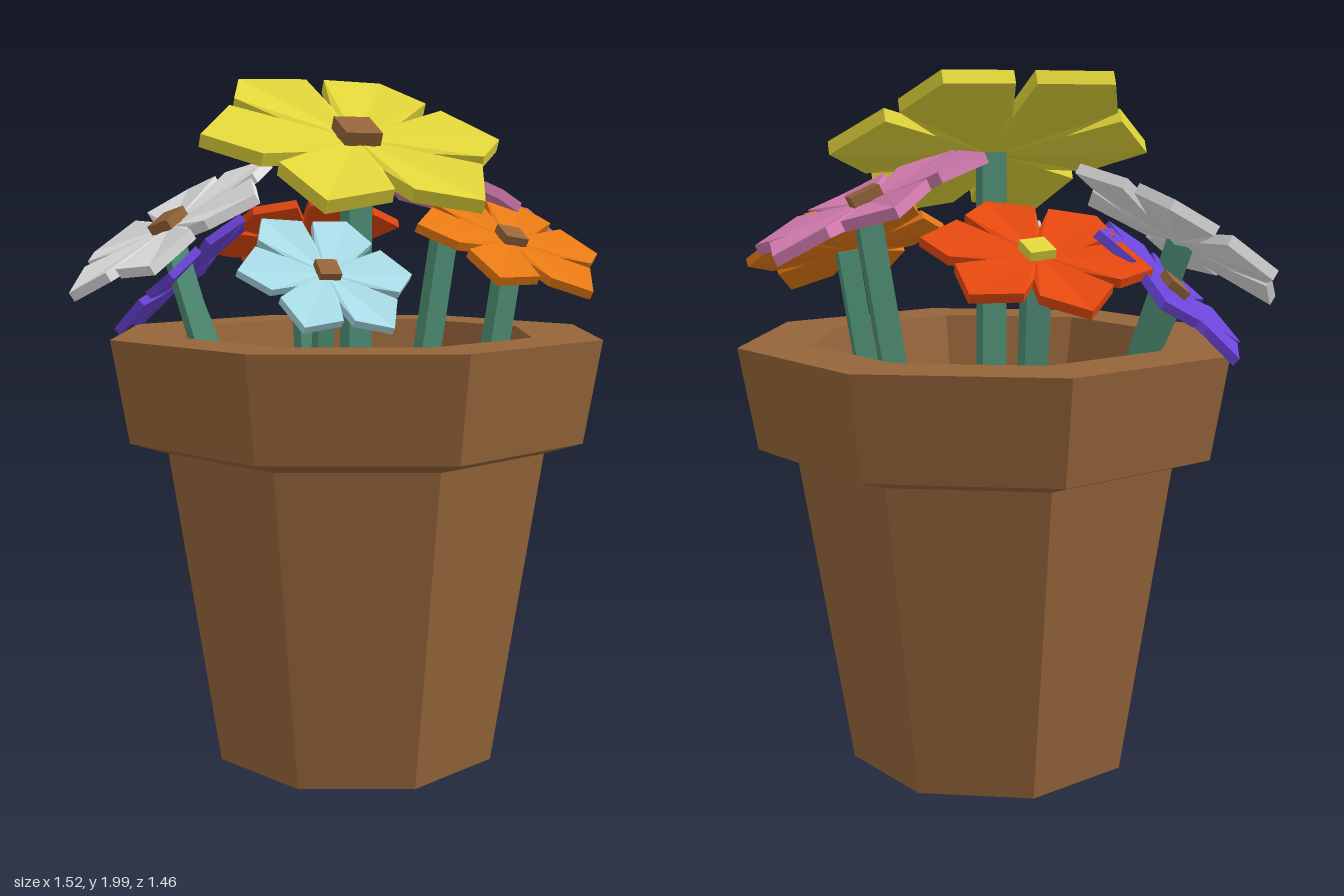
import * as THREE from 'three';

const UP = new THREE.Vector3(0, 1, 0);

const paint = (name, color) => {
  const m = new THREE.MeshStandardMaterial({ color });
  m.name = name;
  return m;
};

// Split shared corners so every face is flat
function faceted(geometry) {
  const g = geometry.index ? geometry.toNonIndexed() : geometry;
  g.computeVertexNormals();
  return g;
}

function part(name, geometry, material) {
  const mesh = new THREE.Mesh(geometry, material);
  mesh.name = name;
  return mesh;
}

// Thick six-petal blossom of radius 1; petals are slightly folded along their middle
function blossomGeometry() {
  const rim = [];
  const profile = [[-30, 0.46, 0], [-25.5, 0.8, 0.04], [0, 1, 0], [25.5, 0.8, 0.04]];
  for (let k = 0; k < 6; k++) {
    for (const [deg, r, h] of profile) {
      const a = THREE.MathUtils.degToRad(deg + k * 60);
      rim.push([r * Math.cos(a), h, -r * Math.sin(a)]);
    }
  }
  const n = rim.length, t = 0.085;
  const pos = [];
  const low = ([x, y, z]) => [x, y - t, z];
  const tri = (a, b, c) => pos.push(...a, ...b, ...c);
  const cap = (a, b, c) => {
    tri(a, b, c);
    tri(low(c), low(b), low(a));
  };
  const mid = [0, -0.01, 0];
  for (let k = 0; k < 6; k++) {
    const [n0, s0, tip, s1, n1] = [0, 1, 2, 3, 4].map(i => rim[(k * 4 + i) % n]);
    cap(mid, n0, s0);
    cap(mid, s0, tip);
    cap(mid, tip, s1);
    cap(mid, s1, n1);
  }
  rim.forEach((a, i) => {
    const b = rim[(i + 1) % n];
    tri(a, low(a), low(b));
    tri(a, low(b), b);
  });
  const g = new THREE.BufferGeometry();
  g.setAttribute('position', new THREE.Float32BufferAttribute(pos, 3));
  return faceted(g);
}

export function createModel() {
  const model = new THREE.Group();
  model.name = 'flowerPot';

  const clay = paint('clay brown', 0x96653a);
  const soil = paint('soil', 0x3d3026);
  const green = paint('stem green', 0x4f8f75);
  const yellow = paint('yellow', 0xe2d63a);
  const orange = paint('orange', 0xe87a14);
  const pink = paint('pink', 0xd67db2);
  const blue = paint('light blue', 0xa8dbe6);
  const red = paint('red', 0xe5480f);
  const purple = paint('purple', 0x6a44d8);
  const white = paint('white', 0xe4e4e4);

  // Eight-sided pot with a wide collar and an open mouth
  const profile = [
    [0, 0], [0.425, 0], [0.57, 0.915], [0.68, 0.95],
    [0.73, 1.24], [0.53, 1.24], [0.49, 1.06],
  ].map(([r, y]) => new THREE.Vector2(r, y));
  const pot = part('pot', faceted(new THREE.LatheGeometry(profile, 8)), clay);
  pot.position.x = 0.03;
  model.add(pot);

  const earth = part('soil', faceted(new THREE.CylinderGeometry(0.493, 0.48, 0.03, 8)), soil);
  earth.position.set(0.03, 1.065, 0);
  model.add(earth);

  // Flowers: blossom centre, facing direction, radius, spin, stem foot (x, z), stem width
  const flowers = [
    { name: 'yellowFlower', mat: yellow, at: [0.03, 1.8, 0], face: [0, 1, 0.51], r: 0.465, spin: 0, foot: [0.03, 0], w: 0.07 },
    { name: 'orangeFlower', mat: orange, at: [0.405, 1.51, 0.24], face: [0.17, 1, 0.52], r: 0.3, spin: 0, foot: [0.34, 0.23], w: 0.06 },
    { name: 'pinkFlower', mat: pink, at: [0.43, 1.65, -0.2], face: [0.46, 1, 0], r: 0.35, spin: 90, foot: [0.34, -0.2], w: 0.065 },
    { name: 'blueFlower', mat: blue, at: [-0.195, 1.43, 0.335], face: [0.05, 1, 0.8], r: 0.25, spin: 0, foot: [-0.2, 0.28], w: 0.045 },
    { name: 'redFlower', mat: red, at: [0.03, 1.52, -0.43], face: [0, 1, -0.44], r: 0.305, spin: 101, foot: [0.03, -0.38], w: 0.065, eye: yellow },
    { name: 'purpleFlower', mat: purple, at: [-0.38, 1.41, -0.36], face: [-0.8, 1, -0.4], r: 0.29, spin: 5, foot: [-0.28, -0.25], w: 0.05 },
    { name: 'whiteFlower', mat: white, at: [-0.465, 1.55, -0.21], face: [-0.64, 1, 0.04], r: 0.355, spin: 120, foot: [-0.37, -0.05], w: 0.06 },
  ];

  const blossom = blossomGeometry();
  const eyeBox = new THREE.BoxGeometry(0.24, 0.1, 0.24);
  for (const f of flowers) {
    const flower = new THREE.Group();
    flower.name = f.name;

    // Blossom head turned to its facing direction
    const head = new THREE.Group();
    head.name = 'head';
    head.position.set(...f.at);
    head.quaternion.setFromUnitVectors(UP, new THREE.Vector3(...f.face).normalize());
    head.rotateY(THREE.MathUtils.degToRad(f.spin));
    head.scale.setScalar(f.r);
    const eye = part('flowerCentre', eyeBox, f.eye ?? clay);
    eye.position.y = 0.03;
    head.add(part('petals', blossom, f.mat), eye);

    // Square stem from the soil to just under the petals
    const foot = new THREE.Vector3(f.foot[0], 1.05, f.foot[1]);
    const top = new THREE.Vector3(...f.at).addScaledVector(UP, -0.03);
    const along = top.clone().sub(foot);
    const stem = part('stem', new THREE.BoxGeometry(f.w, along.length(), f.w), green);
    stem.position.copy(foot).add(top).multiplyScalar(0.5);
    stem.quaternion.setFromUnitVectors(UP, along.normalize());

    flower.add(head, stem);
    model.add(flower);
  }
  return model;
}
